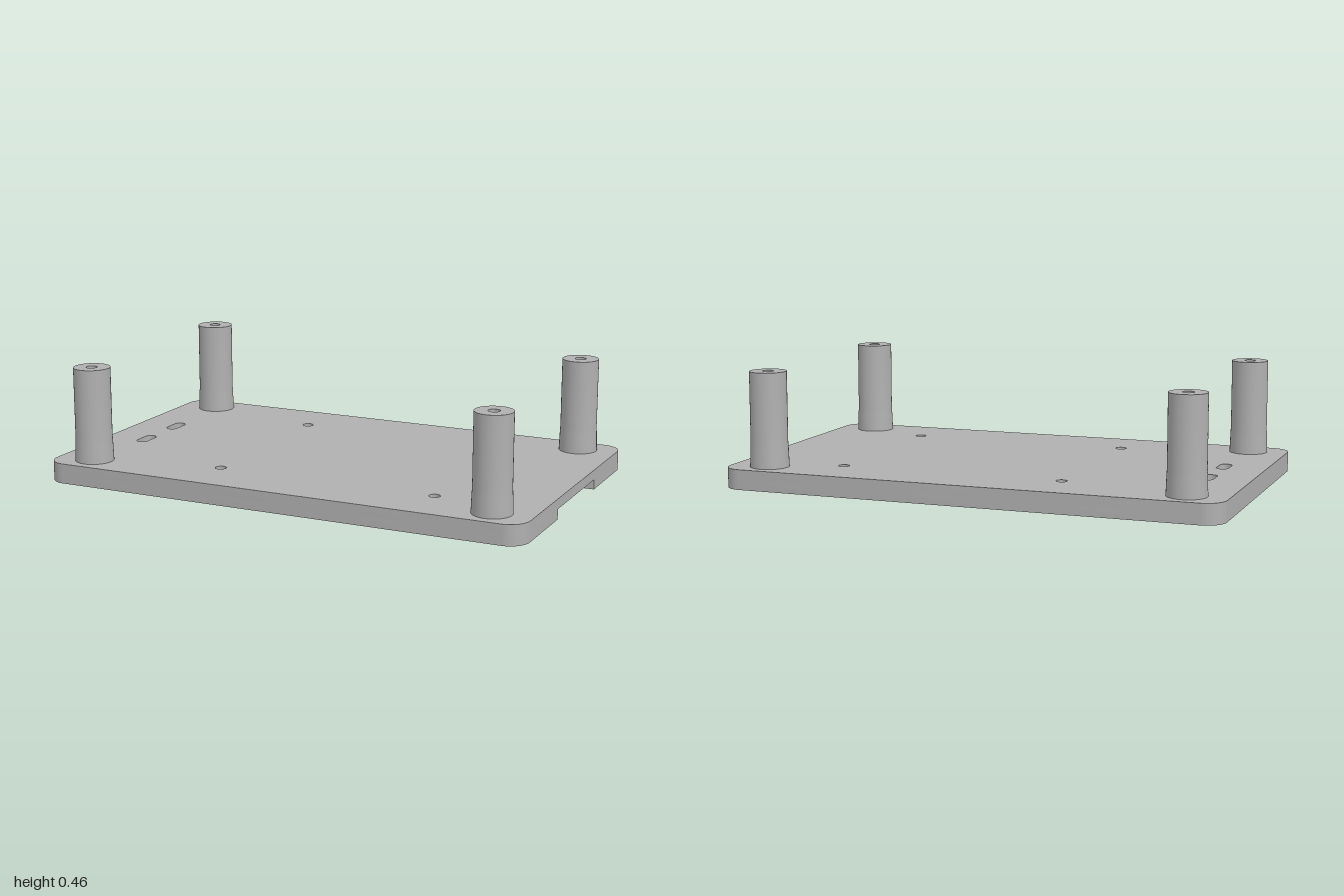
import * as THREE from 'three';
import { toCreasedNormals } from 'three/addons/utils/BufferGeometryUtils.js';

const W = 1, D = 0.605, R = 0.08;          // half width, half depth, corner radius
const THICK = 0.08, STEP = 0.04;           // plate thickness, recess height
const NOTCH_X = 0.7, NOTCH_Z = 0.22;       // recess inner edge and half width
const BORE = 0.022;

// Rounded plate outline, optionally with the cable recess cut in at +x
function plateShape(notched) {
  const s = new THREE.Shape();
  s.moveTo(-W + R, -D);
  s.lineTo(W - R, -D);
  s.absarc(W - R, -D + R, R, -Math.PI / 2, 0);
  if (notched) {
    s.lineTo(W, -NOTCH_Z);
    s.lineTo(NOTCH_X, -NOTCH_Z);
    s.lineTo(NOTCH_X, NOTCH_Z);
    s.lineTo(W, NOTCH_Z);
  }
  s.absarc(W - R, D - R, R, 0, Math.PI / 2);
  s.absarc(-W + R, D - R, R, Math.PI / 2, Math.PI);
  s.absarc(-W + R, -D + R, R, Math.PI, Math.PI * 1.5);

  // Screw holes
  for (const x of [-0.33, 0.575]) {
    for (const y of [-0.382, 0.382]) {
      s.holes.push(new THREE.Path().absarc(x, y, BORE, 0, Math.PI * 2, true));
    }
  }
  // Strap slots
  for (const y of [-0.12, 0.12]) {
    const slot = new THREE.Path();
    slot.absarc(-0.832, y + 0.031, 0.024, 0, Math.PI, false);
    slot.absarc(-0.832, y - 0.031, 0.024, Math.PI, Math.PI * 2, false);
    slot.closePath();
    s.holes.push(slot);
  }
  return s;
}

// Extrude one layer upward from y0, leaving out the cap at height openY
function layer(shape, y0, y1, openY) {
  const g = new THREE.ExtrudeGeometry(shape, { depth: y1 - y0, bevelEnabled: false, curveSegments: 10 });
  g.rotateX(-Math.PI / 2);
  g.translate(0, y0, 0);
  const p = g.attributes.position;
  const kept = [];
  for (let i = 0; i < p.count; i += 3) {
    const onSeam = [0, 1, 2].every((k) => Math.abs(p.getY(i + k) - openY) < 1e-4);
    if (onSeam) continue;
    for (let k = 0; k < 3; k++) kept.push(p.getX(i + k), p.getY(i + k), p.getZ(i + k));
  }
  const out = new THREE.BufferGeometry();
  out.setAttribute('position', new THREE.Float32BufferAttribute(kept, 3));
  return toCreasedNormals(out, 0.6);
}

export function createModel() {
  const model = new THREE.Group();
  model.name = 'mountingPlate';
  const grey = new THREE.MeshStandardMaterial({ color: 0xb0b0b0 });
  grey.name = 'grey plastic';

  const add = (name, geometry, x = 0, y = 0, z = 0) => {
    const mesh = new THREE.Mesh(geometry, grey);
    mesh.name = name;
    mesh.position.set(x, y, z);
    model.add(mesh);
    return mesh;
  };

  // Plate in two layers; the lower one has the recess
  add('plateLower', layer(plateShape(true), 0, STEP, STEP));
  add('plateUpper', layer(plateShape(false), STEP, THICK, STEP));

  // Ceiling of the recess, facing down
  const ceiling = new THREE.PlaneGeometry(W - NOTCH_X, NOTCH_Z * 2).rotateX(Math.PI / 2);
  add('recessCeiling', ceiling, (W + NOTCH_X) / 2, STEP, 0);

  // Standoff posts with a slightly flared foot and a blind bore
  const profile = [
    [0.077, THICK], [0.0745, 0.15], [0.073, 0.18], [0.073, 0.457],
    [BORE, 0.457], [BORE, THICK + 0.003], [0, THICK + 0.003],
  ].map(([r, y]) => new THREE.Vector2(r, y));
  const post = toCreasedNormals(new THREE.LatheGeometry(profile, 40), 0.6);
  for (const sx of [-1, 1]) {
    for (const sz of [-1, 1]) {
      add(`${sz > 0 ? 'front' : 'back'}${sx > 0 ? 'Left' : 'Right'}Post`, post, sx * 0.843, 0, sz * 0.492);
    }
  }
  return model;
}
